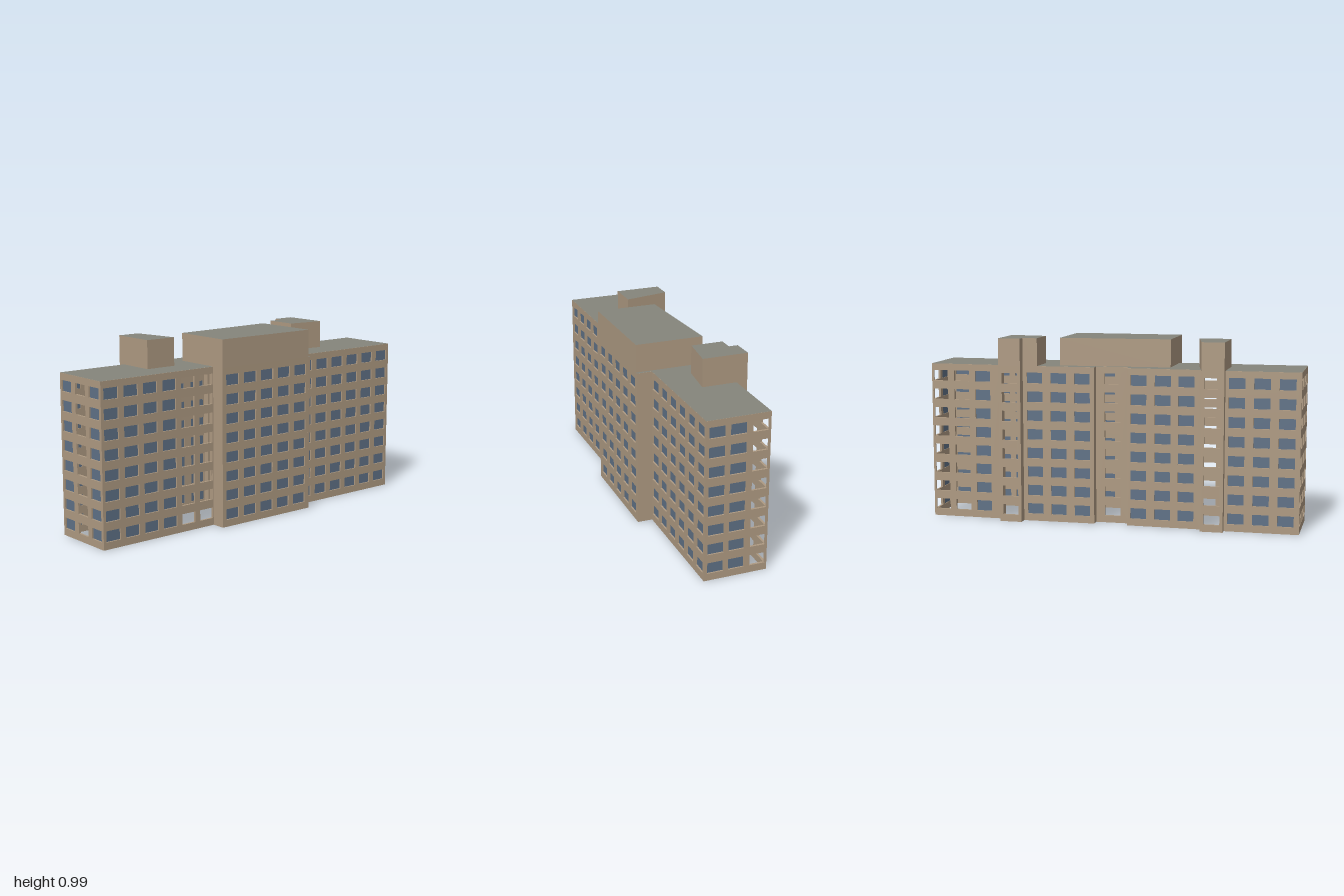
import * as THREE from 'three';
import { mergeGeometries } from 'three/addons/utils/BufferGeometryUtils.js';

const FLOORS = 8, PITCH = 0.1014, SILL = 0.038, WIN_W = 0.085, WIN_H = 0.057;
const WALL_H = 0.84, TOP_H = 0.988, THICK = 0.012;

// evenly spaced window columns
const row = (start, count) => Array.from({ length: count }, (_, i) => start + i * 0.1176);

// Footprint corners: x, z, name of the wall to the next corner,
// distances of its glazed window columns, distances of its open columns
const FOOTPRINT = [
  [-0.2, 1, 'frontWall', [0.057, 0.295], [0.178]],
  [0.155, 1, 'leftWallFront', row(0.059, 4), row(0.5294, 2)],
  [0.155, 0.305, 'blockFrontReturn'],
  [0.23, 0.305, 'centralBlockWall', row(0.067, 5)],
  [0.235, -0.305, 'blockBackReturn'],
  [0.155, -0.305, 'leftWallBack', row(0.048, 6)],
  [0.16, -1, 'backWall', [0.06, 0.17], [0.285]],
  [-0.175, -1, 'rightWallBack', [0.29], [0.05, 0.17]],
  [-0.18, -0.6, 'backTowerBackSide'],
  [-0.238, -0.6, 'backTowerWall', [], [0.06]],
  [-0.238, -0.48, 'backTowerFrontSide'],
  [-0.19, -0.48, 'rightWallMiddleBack', [0.065, 0.195, 0.325]],
  [-0.185, -0.09, 'recessBackSide'],
  [-0.14, -0.09, 'recessWall', [], [0.09]],
  [-0.14, 0.09, 'recessFrontSide'],
  [-0.185, 0.09, 'rightWallMiddleFront', [0.06, 0.19, 0.315]],
  [-0.19, 0.485, 'frontTowerBackSide'],
  [-0.238, 0.49, 'frontTowerWall', [], [0.06]],
  [-0.238, 0.61, 'frontTowerFrontSide'],
  [-0.2, 0.61, 'rightWallFront', [0.06, 0.19, 0.32]],
];

// Plan outlines of the rooftop blocks
const PENTHOUSES = {
  centralPenthouse: [[-0.13, -0.29], [0.235, -0.29], [0.23, 0.305], [-0.1, 0.305]],
  frontTowerTop: [[-0.238, 0.61], [0.005, 0.61], [0.005, 0.44], [-0.238, 0.49]],
  backTowerTop: [[-0.238, -0.6], [0.005, -0.6], [-0.02, -0.4], [-0.19, -0.4], [-0.19, -0.48], [-0.238, -0.48]],
};

const planShape = (pts) => new THREE.Shape(pts.map(([x, z]) => new THREE.Vector2(x, -z)));

export function createModel() {
  const wallMat = new THREE.MeshStandardMaterial({ color: 0xae9a82 });
  wallMat.name = 'tanWall';
  const roofMat = new THREE.MeshStandardMaterial({ color: 0x85857b, side: THREE.DoubleSide });
  roofMat.name = 'greyRoof';
  const glassMat = new THREE.MeshStandardMaterial({ color: 0x5f7186, side: THREE.DoubleSide });
  glassMat.name = 'blueGlass';

  const model = new THREE.Group();
  model.name = 'apartmentBlock';

  const addMesh = (parent, name, geometry, material) => {
    const mesh = new THREE.Mesh(geometry, material);
    mesh.name = name;
    parent.add(mesh);
    return mesh;
  };

  // A wall between two corners, pierced by columns of windows
  function addWall([x0, z0, name, glazed = [], open = []], [x1, z1]) {
    const length = Math.hypot(x1 - x0, z1 - z0);
    const shape = new THREE.Shape([
      new THREE.Vector2(0, 0), new THREE.Vector2(length, 0),
      new THREE.Vector2(length, WALL_H), new THREE.Vector2(0, WALL_H),
    ]);
    const panes = [];
    for (const u of [...glazed, ...open]) {
      for (let f = 0; f < FLOORS; f++) {
        const a = u - WIN_W / 2, b = u + WIN_W / 2;
        const y = SILL + f * PITCH;
        shape.holes.push(new THREE.Path([
          new THREE.Vector2(a, y), new THREE.Vector2(a, y + WIN_H),
          new THREE.Vector2(b, y + WIN_H), new THREE.Vector2(b, y),
        ]));
        if (glazed.includes(u)) {
          panes.push(new THREE.PlaneGeometry(WIN_W, WIN_H).translate(u, y + WIN_H / 2, -THICK * 0.7));
        }
      }
    }
    const group = new THREE.Group();
    group.name = name;
    const geometry = new THREE.ExtrudeGeometry(shape, { depth: THICK, bevelEnabled: false });
    addMesh(group, name + 'Panel', geometry.translate(0, 0, -THICK), wallMat);
    if (panes.length) addMesh(group, name + 'Windows', mergeGeometries(panes), glassMat);
    group.position.set(x0, 0, z0);
    group.rotation.y = Math.atan2(z0 - z1, x1 - x0);
    model.add(group);
  }
  FOOTPRINT.forEach((corner, i) => addWall(corner, FOOTPRINT[(i + 1) % FOOTPRINT.length]));

  // Flat main roof
  const roof = new THREE.ShapeGeometry(planShape(FOOTPRINT)).rotateX(-Math.PI / 2);
  addMesh(model, 'mainRoof', roof, roofMat).position.y = WALL_H + 0.0005;

  // Rooftop blocks: grey caps, tan sides
  for (const [name, pts] of Object.entries(PENTHOUSES)) {
    const block = new THREE.ExtrudeGeometry(planShape(pts), { depth: TOP_H - WALL_H, bevelEnabled: false });
    block.rotateX(-Math.PI / 2);
    addMesh(model, name, block, [roofMat, wallMat]).position.y = WALL_H;
  }
  return model;
}
